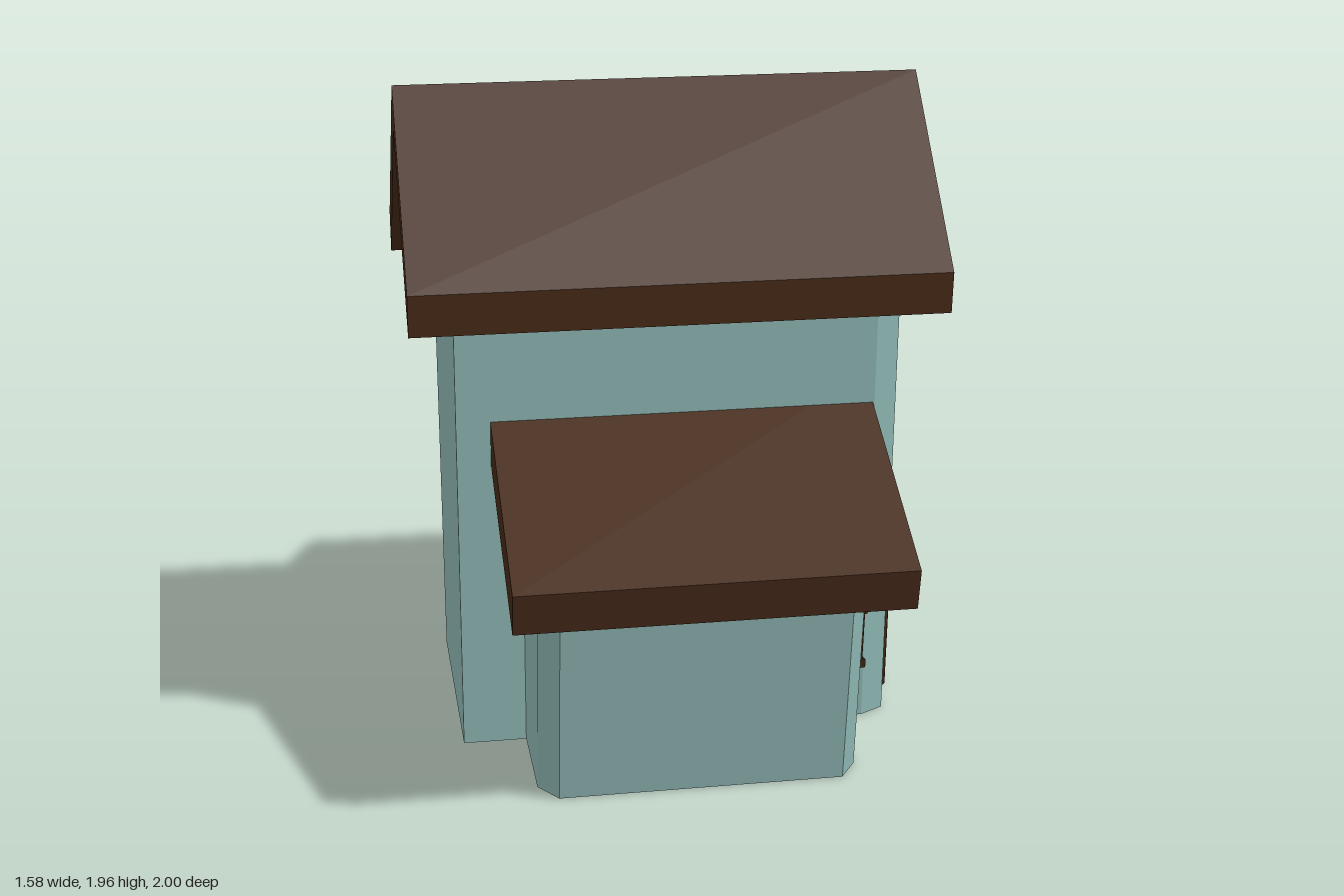
import * as THREE from 'three';

const mat = (color) => new THREE.MeshStandardMaterial({ color, roughness: 1, flatShading: true, side: THREE.DoubleSide });

// Profiles are drawn as seen from +x: u runs right (towards -z), y up, and depth runs along +x.
export function createModel() {
  const house = new THREE.Group();
  house.name = 'house';
  const wall = mat(0x8fb8b4), roof = mat(0x472a18), trim = mat(0x3f2615), glass = mat(0xd0aa38), wood = mat(0x5f5048);

  const add = (parent, name, geometry, material) => {
    const mesh = new THREE.Mesh(geometry, material);
    mesh.name = name;
    parent.add(mesh);
    return mesh;
  };

  // Flat-sided solid through counter-clockwise profiles placed at increasing x
  const loft = (sections) => {
    const pos = [];
    const put = (s, i) => pos.push(s.p[i][0], s.p[i][1], s.x);
    const n = sections[0].p.length;
    for (let k = 0; k < sections.length - 1; k++) {
      const a = sections[k], b = sections[k + 1];
      for (let i = 0; i < n; i++) {
        const j = (i + 1) % n;
        put(a, i); put(a, j); put(b, j);
        put(a, i); put(b, j); put(b, i);
      }
    }
    const first = sections[0], last = sections[sections.length - 1];
    for (let i = 1; i < n - 1; i++) {
      put(last, 0); put(last, i); put(last, i + 1);
      put(first, 0); put(first, i + 1); put(first, i);
    }
    const g = new THREE.BufferGeometry();
    g.setAttribute('position', new THREE.Float32BufferAttribute(pos, 3));
    g.computeVertexNormals();
    return g.rotateY(Math.PI / 2);
  };

  // Straight slab from a profile, between two x positions
  const slab = (points, x0, x1) => new THREE.ExtrudeGeometry(
    new THREE.Shape(points.map(([u, y]) => new THREE.Vector2(u, y))),
    { depth: x1 - x0, bevelEnabled: false }).translate(0, 0, x0).rotateY(Math.PI / 2);

  // Tapered board with softened edges; bowB and bowT bend its lower and upper edge
  const board = ([b0, b1], [t0, t1], y0, y1, depth, bowB = 0, bowT = 0, bevel = 0.008) => {
    const s = new THREE.Shape();
    s.moveTo(b0, y0);
    s.quadraticCurveTo((b0 + b1) / 2, y0 + 2 * bowB, b1, y0);
    s.lineTo(t1, y1);
    s.quadraticCurveTo((t0 + t1) / 2, y1 + 2 * bowT, t0, y1);
    s.closePath();
    return new THREE.ExtrudeGeometry(s, {
      depth: depth - bevel, curveSegments: 8, bevelEnabled: bevel > 0,
      bevelThickness: bevel, bevelSize: bevel, bevelOffset: -bevel, bevelSegments: 2,
    }).rotateY(Math.PI / 2);
  };

  // Main block: flared walls, chamfered on the door side
  const gable = (inset) => [
    [-0.37 + inset, 0], [0.37 - inset, 0], [0.43 - inset, 1.41], [0, 1.85], [-0.43 + inset, 1.41],
  ];
  add(house, 'mainWalls', loft([
    { x: -0.66, p: gable(0) }, { x: 0.58, p: gable(0) }, { x: 0.655, p: gable(0.042) },
  ]), wall);
  add(house, 'mainRoof', slab([
    [-0.48, 1.33], [0, 1.825], [0.48, 1.33], [0.49, 1.455], [0, 1.955], [-0.49, 1.455],
  ], -0.79, 0.785), roof);

  // Side wings with lean-to roofs
  for (const side of [-1, 1]) {
    const name = side < 0 ? 'left' : 'right';
    const wing = (inset) => {
      const p = [[0.2, 0], [0.76 - inset, 0], [0.86 - inset, 0.7 + inset / 2], [0.2, 1.03]];
      return side > 0 ? p : p.map(([u, y]) => [-u, y]).reverse();
    };
    add(house, name + 'WingWalls', loft([
      { x: -0.47, p: wing(0.08) }, { x: -0.415, p: wing(0) },
      { x: 0.427, p: wing(0) }, { x: 0.48, p: wing(0.08) },
    ]), wall);
    add(house, name + 'WingRoof', slab(
      [[0.3, 0.96], [0.975, 0.625], [1, 0.75], [0.3, 1.103]].map(([u, y]) => [side * u, y]), -0.56, 0.575), roof);
  }

  // Cartoon window, wider at the top
  const addWindow = (name, x, y, u, scale, tilt) => {
    const w = new THREE.Group();
    w.name = name;
    add(w, 'pane', board([-0.1, 0.1], [-0.13, 0.13], -0.15, 0.15, 0.006, 0, 0, 0), glass);
    add(w, 'lintel', board([-0.185, 0.185], [-0.196, 0.196], 0.118, 0.165, 0.052, 0.013, 0.014), trim);
    add(w, 'sill', board([-0.153, 0.153], [-0.158, 0.158], -0.163, -0.118, 0.052, -0.014, -0.013), trim);
    for (const s of [-1, 1]) {
      add(w, 'jamb', board([s * 0.078, s * 0.13], [s * 0.106, s * 0.167], -0.14, 0.135, 0.043), trim);
    }
    add(w, 'uprightBar', board([-0.011, 0.011], [-0.011, 0.011], -0.14, 0.14, 0.022, 0, 0, 0.003), trim);
    add(w, 'crossBar', board([-0.1, 0.1], [-0.1, 0.1], -0.011, 0.011, 0.022, 0, 0, 0.003), trim);
    w.position.set(x, y, -u);
    w.rotation.x = tilt;
    w.scale.setScalar(scale);
    house.add(w);
  };
  addWindow('upperWindow', 0.655, 1.19, 0.014, 1, 0.02);
  addWindow('leftWindow', 0.48, 0.403, -0.56, 0.64, -0.03);
  addWindow('rightWindow', 0.48, 0.403, 0.562, 0.64, 0.03);

  // Door with leaning posts and an arched lintel
  const door = new THREE.Group();
  door.name = 'door';
  add(door, 'doorPanel', board([-0.13, 0.13], [-0.17, 0.17], 0, 0.59, 0.01, 0, 0, 0), wood);
  add(door, 'doorLintel', board([-0.246, 0.246], [-0.258, 0.258], 0.545, 0.648, 0.062, 0.025, 0.032, 0.012), trim);
  for (const s of [-1, 1]) {
    add(door, 'doorPost', board([s * 0.121, s * 0.191], [s * 0.147, s * 0.225], 0, 0.59, 0.052), trim);
  }
  door.position.set(0.655, 0, -0.014);
  house.add(door);

  return house;
}
